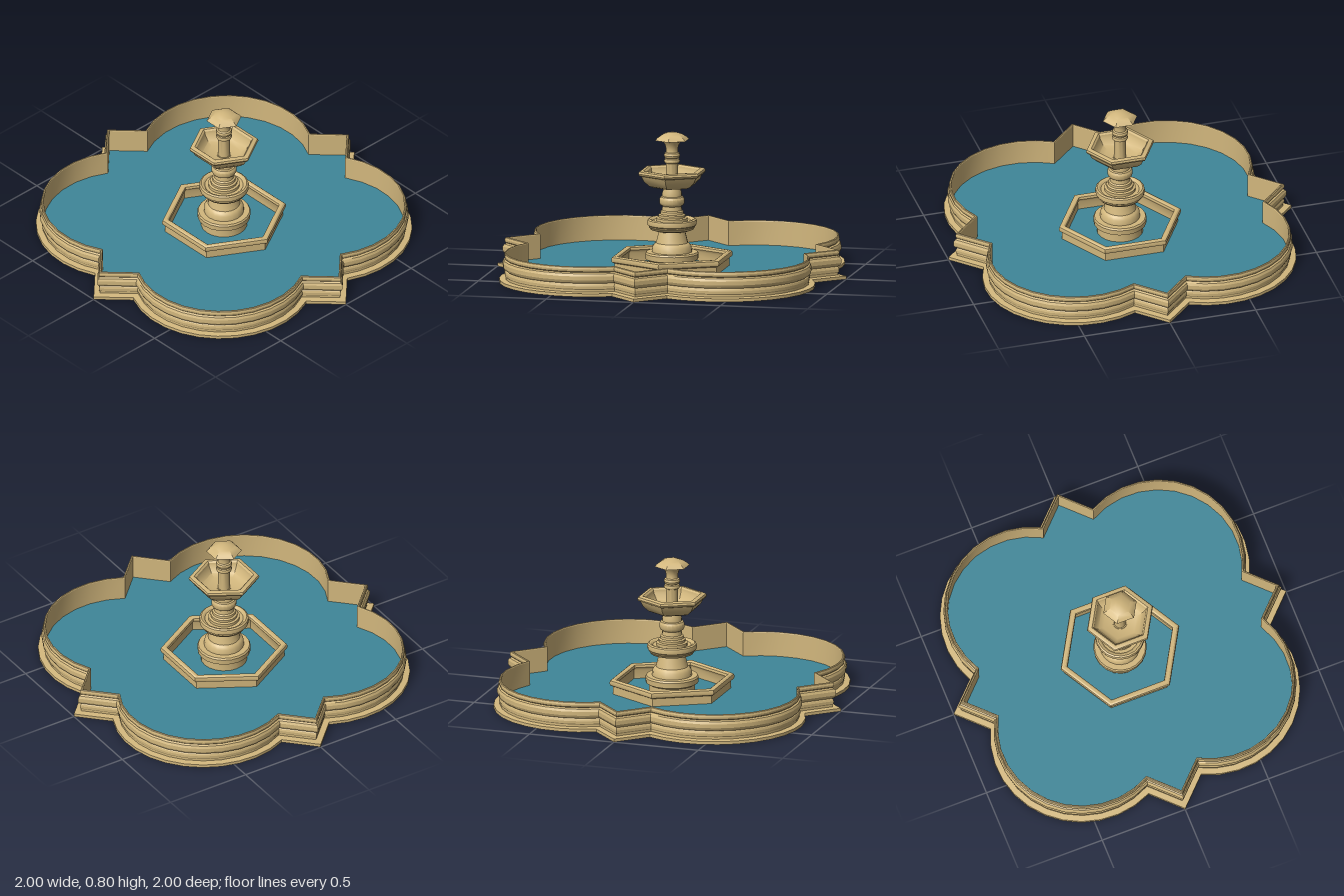
import * as THREE from 'three';
import { toCreasedNormals } from 'three/addons/utils/BufferGeometryUtils.js';

const stone = new THREE.MeshStandardMaterial({ color: 0xd2b77d });
stone.name = 'sandstone';
const water = new THREE.MeshStandardMaterial({ color: 0x3f8799 });
water.name = 'water';

const WATER_Y = 0.025;

// Four-lobed outline with pointed corners between the lobes, moved inward by d.
function outline(d, steps = 12) {
  const c = 0.385, r = 0.51 - d, tip = 1 - d * Math.SQRT2;
  const k = (tip - c) ** 2 + c * c - r * r;
  const notch = (tip - Math.sqrt(tip * tip - 2 * k)) / 2;
  const start = Math.atan2(notch - c, tip - notch - c);
  const end = Math.PI / 2 - start;
  const points = [];
  for (let q = 0; q < 4; q++) {
    const turn = new THREE.Vector2();
    const angle = q * Math.PI / 2;
    points.push(new THREE.Vector2(tip, 0).rotateAround(turn, angle));
    for (let i = 0; i <= steps; i++) {
      const a = start + (end - start) * i / steps;
      points.push(new THREE.Vector2(c + r * Math.cos(a), c + r * Math.sin(a)).rotateAround(turn, angle));
    }
  }
  return points;
}

// Sweeps a moulding profile of [inset, height] pairs round the outline.
function sweepWall(profile) {
  const positions = [], indices = [];
  let n = 0;
  for (const [d, y] of profile) {
    const ring = outline(d);
    n = ring.length;
    for (const p of ring) positions.push(p.x, y, p.y);
  }
  for (let j = 0; j < profile.length - 1; j++) {
    for (let i = 0; i < n; i++) {
      const a = j * n + i, b = j * n + (i + 1) % n;
      indices.push(a, a + n, b, b, a + n, b + n);
    }
  }
  const geo = new THREE.BufferGeometry();
  geo.setAttribute('position', new THREE.Float32BufferAttribute(positions, 3));
  geo.setIndex(indices);
  return toCreasedNormals(geo, 0.3);
}

// Turned part from [radius, height] pairs, listed from the bottom up.
function turned(profile, sides) {
  const points = profile.map(([r, y]) => new THREE.Vector2(r, y));
  return toCreasedNormals(new THREE.LatheGeometry(points, sides, Math.PI / 2), 0.6);
}

export function createModel() {
  const group = new THREE.Group();
  const add = (name, geo, mat = stone) => {
    const mesh = new THREE.Mesh(geo, mat);
    mesh.name = name;
    group.add(mesh);
    return mesh;
  };

  // Basin: slab edge, three stacked mouldings, straight inner face
  add('basinWall', sweepWall([
    [0, 0], [0, 0.018], [0.034, 0.022], [0.034, 0.034],
    [0.03, 0.04], [0.029, 0.055], [0.032, 0.066], [0.036, 0.07],
    [0.026, 0.077], [0.02, 0.09], [0.02, 0.112], [0.026, 0.126], [0.036, 0.132],
    [0.03, 0.138], [0.028, 0.15], [0.031, 0.162], [0.035, 0.165],
    [0.041, 0.165], [0.043, 0.16], [0.043, 0.02],
  ]));
  add('basinUnderside', new THREE.ShapeGeometry(new THREE.Shape(outline(0))).rotateX(Math.PI / 2));
  const pool = add('poolWater', new THREE.ShapeGeometry(new THREE.Shape(outline(0.042))).rotateX(-Math.PI / 2), water);
  pool.position.y = WATER_Y;

  // Six-sided inner curb
  add('innerCurb', turned([
    [0.338, 0.02], [0.338, 0.07], [0.353, 0.077], [0.357, 0.09], [0.353, 0.104],
    [0.343, 0.11], [0.328, 0.11], [0.318, 0.104], [0.315, 0.09], [0.325, 0.075], [0.325, 0.02],
  ], 6));

  // Round plinth and tapered foot
  add('plinth', turned([
    [0.13, 0.02], [0.13, 0.07], [0.148, 0.08], [0.15, 0.11], [0.144, 0.12],
    [0.112, 0.12], [0.11, 0.15], [0.1, 0.165], [0.09, 0.172], [0.083, 0.2], [0.072, 0.245],
  ], 20));

  // Lower round bowl
  add('lowerBowl', turned([
    [0.07, 0.24], [0.095, 0.24], [0.12, 0.248], [0.13, 0.262], [0.13, 0.268],
    [0.138, 0.274], [0.14, 0.29], [0.137, 0.302], [0.128, 0.308],
    [0.118, 0.306], [0.108, 0.296], [0.06, 0.294],
  ], 20));

  // Middle baluster
  add('middleColumn', turned([
    [0.088, 0.29], [0.088, 0.312], [0.075, 0.316], [0.076, 0.33], [0.066, 0.336], [0.065, 0.35],
    [0.056, 0.356], [0.054, 0.38], [0.066, 0.388], [0.071, 0.4], [0.071, 0.42],
    [0.064, 0.432], [0.055, 0.436], [0.055, 0.455], [0.046, 0.485], [0.04, 0.51],
  ], 20));

  // Upper six-sided bowl
  add('upperBowl', turned([
    [0.03, 0.488], [0.11, 0.488], [0.135, 0.498], [0.165, 0.525], [0.18, 0.555],
    [0.193, 0.56], [0.198, 0.57], [0.194, 0.582], [0.184, 0.587],
    [0.168, 0.587], [0.158, 0.578], [0.155, 0.562], [0.13, 0.525], [0.1, 0.51], [0.02, 0.506],
  ], 6));

  // Slim top column with two collars
  add('topColumn', turned([
    [0.033, 0.5], [0.033, 0.622], [0.042, 0.626], [0.045, 0.635], [0.042, 0.646], [0.034, 0.65],
    [0.042, 0.655], [0.046, 0.667], [0.042, 0.68], [0.034, 0.685],
    [0.033, 0.705], [0.04, 0.73], [0.056, 0.752],
  ], 20));

  // Six-sided cap
  add('cap', turned([
    [0, 0.755], [0.06, 0.748], [0.1, 0.755], [0.085, 0.77], [0.06, 0.786], [0.03, 0.796], [0, 0.8],
  ], 6));

  return group;
}
